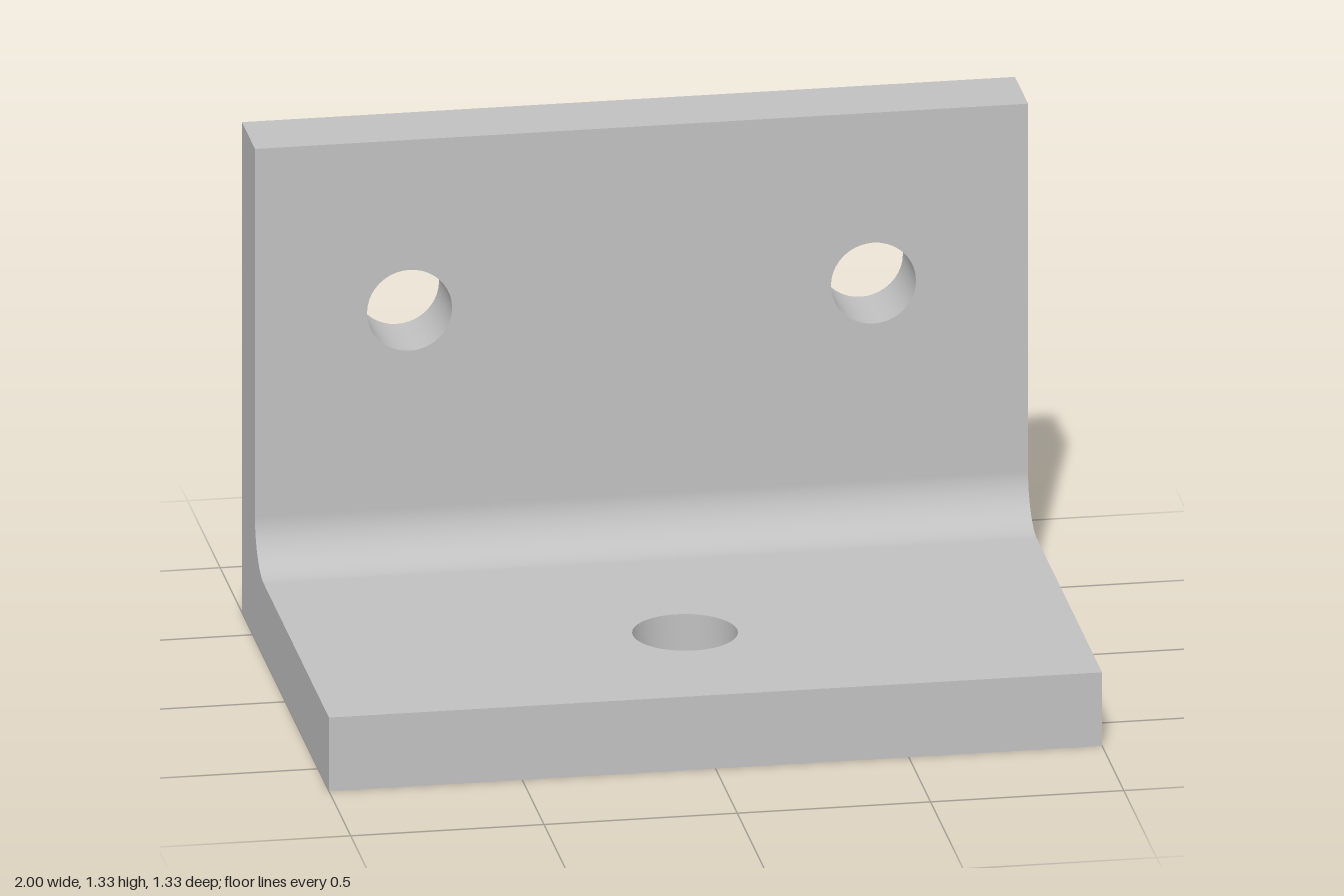
import * as THREE from 'three';
import { mergeGeometries, toCreasedNormals } from 'three/addons/utils/BufferGeometryUtils.js';

const HALF_W = 1;            // half width along x
const D = 2 / 3;             // half depth along z
const H = 4 / 3;             // height
const T = 0.2;               // plate thickness
const R = 2 / 15;            // inner fillet radius
const J = T + R;             // where the flat plates meet the heel (y = J, z = -J)

// Rectangular plate spanning the full width, with round holes [x, y, radius]
function plate(y0, y1, holes) {
  const shape = new THREE.Shape();
  shape.moveTo(-HALF_W, y0).lineTo(HALF_W, y0).lineTo(HALF_W, y1).lineTo(-HALF_W, y1).closePath();
  for (const [x, y, r] of holes) {
    shape.holes.push(new THREE.Path().absarc(x, y, r, 0, Math.PI * 2, true));
  }
  return new THREE.ExtrudeGeometry(shape, { depth: T, bevelEnabled: false, curveSegments: 20 });
}

// Drop the hidden faces where the plates join the heel
function withoutSeams(geometry) {
  const p = geometry.attributes.position;
  const kept = [];
  for (let i = 0; i < p.count; i += 3) {
    const tri = [i, i + 1, i + 2];
    const seam = tri.every((k) => Math.abs(p.getY(k) - J) < 1e-4)
      || tri.every((k) => Math.abs(p.getZ(k) + J) < 1e-4);
    if (!seam) for (const k of tri) kept.push(p.getX(k), p.getY(k), p.getZ(k));
  }
  const result = new THREE.BufferGeometry();
  result.setAttribute('position', new THREE.Float32BufferAttribute(kept, 3));
  return result;
}

export function createModel() {
  const steel = new THREE.MeshStandardMaterial({ color: 0xc0c0c0 });
  steel.name = 'plain grey metal';

  // Horizontal base with one large hole
  const base = plate(-D, J, [[0, -0.2, 0.135]]).rotateX(-Math.PI / 2);

  // Upright wall at the back with two holes
  const wall = plate(J, H, [[-0.6, 0.87, 0.11], [0.6, 0.87, 0.11]]).translate(0, 0, -D);

  // Heel with the rounded inner corner, profile in (z, y)
  const profile = new THREE.Shape();
  profile.moveTo(-D, 0).lineTo(-J, 0).lineTo(-J, T);
  profile.absarc(-J, J, R, -Math.PI / 2, -Math.PI, true);
  profile.lineTo(-D, J).closePath();
  const heel = new THREE.ExtrudeGeometry(profile, {
    depth: 2 * HALF_W, bevelEnabled: false, curveSegments: 6,
  }).rotateY(-Math.PI / 2).translate(HALF_W, 0, 0);

  // One continuous body: crisp outer edges, smooth fillet and holes
  const body = toCreasedNormals(withoutSeams(mergeGeometries([base, wall, heel])), 0.5);
  const bracket = new THREE.Mesh(body, steel);
  bracket.name = 'angleBracket';

  const model = new THREE.Group();
  model.name = 'mountingBracket';
  model.add(bracket);
  return model;
}
